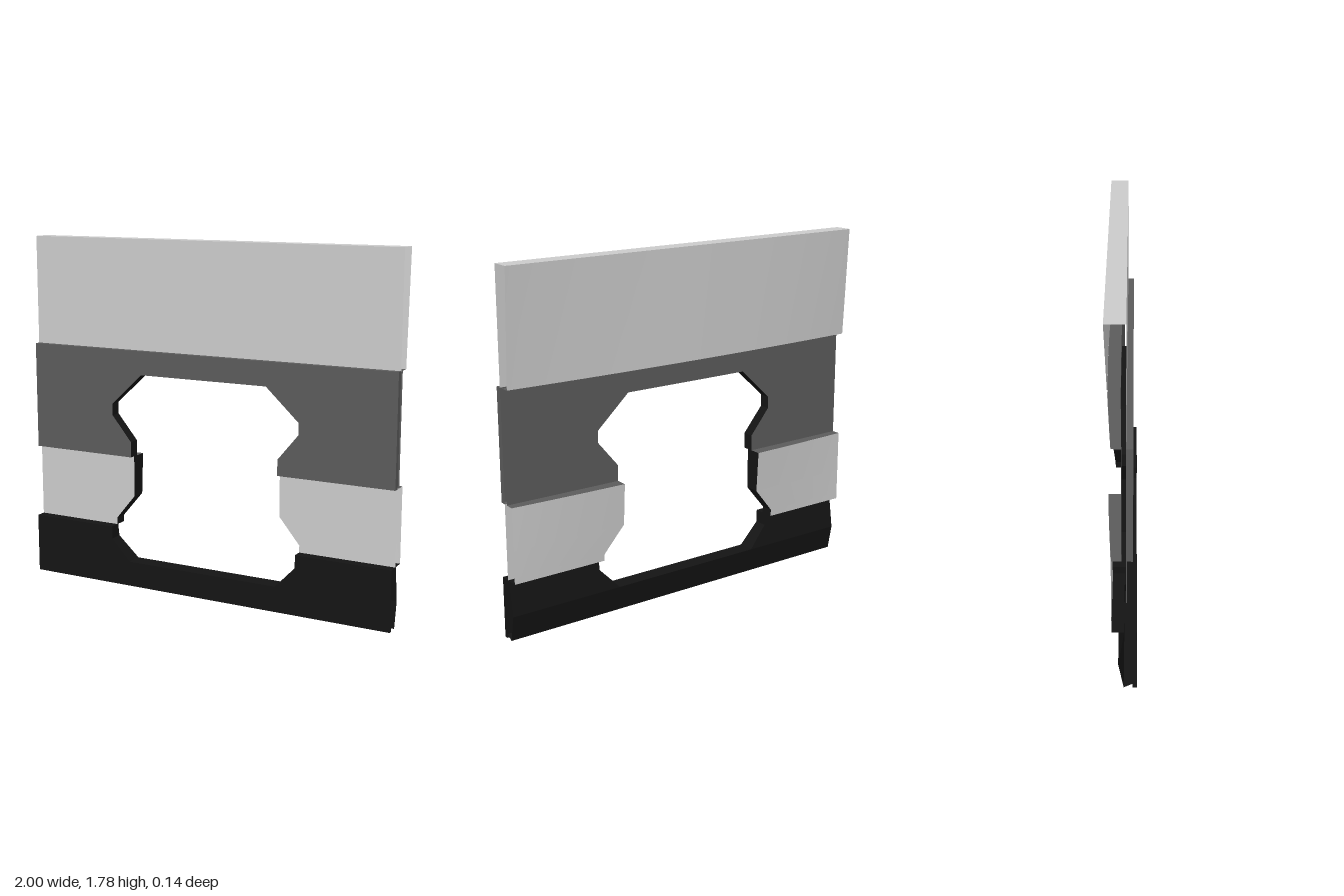
import * as THREE from 'three';
import { mergeGeometries } from 'three/addons/utils/BufferGeometryUtils.js';

const lerp = THREE.MathUtils.lerp;
const HOLE_X = -0.01;
// Opening outline: [height, half width]
const HOLE = [[0.13, 0.415], [0.24, 0.52], [0.34, 0.52], [0.47, 0.412], [0.76, 0.412], [0.89, 0.52], [0.95, 0.52], [1.11, 0.347]];

// Stacked bands; back rows are [height, z at the ends, z at mid width]
const BANDS = [
  { name: 'baseBand', color: 0x141414, front: 0.07, back: [[0, 0.01, 0.01], [0.13, -0.015, -0.015], [0.305, 0.012, 0.012]] },
  { name: 'lowerPanel', color: 0xcccccc, front: 0.02, back: [[0.305, -0.045, -0.045], [0.68, -0.045, -0.072]] },
  { name: 'middleBand', color: 0x5b5b5b, front: 0.05, back: [[0.68, 0, -0.01], [1.23, 0, -0.01]] },
  { name: 'upperPanel', color: 0xcccccc, front: 0.02, back: [[1.23, -0.045, -0.072], [1.785, -0.072, -0.072]] },
];

// Half width of the opening at a height, 0 where the wall is solid
function halfWidth(y) {
  for (let i = 0; i < HOLE.length - 1; i++) {
    const [y0, w0] = HOLE[i], [y1, w1] = HOLE[i + 1];
    if (y >= y0 && y <= y1) return lerp(w0, w1, (y - y0) / (y1 - y0));
  }
  return 0;
}

// Bowed back surface of a band
function backZ(band, x, y) {
  const rows = band.back;
  let i = 0;
  while (i < rows.length - 2 && y > rows[i + 1][0]) i++;
  const [a, b] = [rows[i], rows[i + 1]];
  const t = (y - a[0]) / (b[0] - a[0]);
  return lerp(lerp(a[1], b[1], t), lerp(a[2], b[2], t), 1 - x * x);
}

// Bend a plane grid by a rule (u, v) -> [x, y, z]
function sheet(rule, nu = 16, nv = 1) {
  const g = new THREE.PlaneGeometry(1, 1, nu, nv);
  const p = g.attributes.position;
  for (let i = 0; i < p.count; i++) p.setXYZ(i, ...rule(p.getX(i) + 0.5, p.getY(i) + 0.5));
  g.computeVertexNormals();
  return g;
}

function addMesh(group, name, color, geometries) {
  const material = new THREE.MeshStandardMaterial({ color, side: THREE.DoubleSide });
  const mesh = new THREE.Mesh(mergeGeometries(geometries), material);
  mesh.name = name;
  group.add(mesh);
}

// Horizontal strips either side of the opening between two depth rules
function ledge(y, zFront, zBack) {
  const w = halfWidth(y);
  const spans = w ? [[-1, HOLE_X - w], [HOLE_X + w, 1]] : [[-1, 1]];
  return spans.map(([a, b]) => sheet((u, v) => {
    const x = lerp(a, b, u);
    return [x, y, lerp(zFront(x), zBack(x), v)];
  }));
}

export function createModel() {
  const group = new THREE.Group();
  group.name = 'wallWithOpening';
  const walls = [];

  for (const band of BANDS) {
    const parts = [];
    const y0 = band.back[0][0], y1 = band.back[band.back.length - 1][0];
    const inner = HOLE.map(h => h[0]).filter(y => y > y0 && y < y1);
    const levels = [y0, ...inner, y1];
    for (let i = 0; i < levels.length - 1; i++) {
      const [a, b] = [levels[i], levels[i + 1]];
      const open = halfWidth((a + b) / 2) > 0;
      const wall = y => (open ? halfWidth(y) : 0);
      for (const side of [-1, 1]) {
        const edge = y => HOLE_X + side * wall(y);
        const xAt = (u, y) => (side < 0 ? lerp(-1, edge(y), u) : lerp(edge(y), 1, u));
        // Front and back skins
        parts.push(sheet((u, v) => {
          const y = lerp(a, b, v);
          return [xAt(u, y), y, band.front];
        }));
        parts.push(sheet((u, v) => {
          const y = lerp(a, b, v), x = xAt(1 - u, y);
          return [x, y, backZ(band, x, y)];
        }));
        // Side walls of the opening
        if (open) walls.push(sheet((u, v) => {
          const y = lerp(a, b, v), x = edge(y), t = side < 0 ? u : 1 - u;
          return [x, y, lerp(band.front, backZ(band, x, y), t)];
        }, 1));
      }
    }
    // End caps on the raised front of the middle band
    if (band.name === 'middleBand') for (const side of [-1, 1]) {
      parts.push(sheet((u, v) => [side, lerp(y0, y1, v), lerp(0.02, 0.05, side < 0 ? u : 1 - u)], 1));
    }
    // Flat top edge of the upper panel
    if (band.name === 'upperPanel') parts.push(...ledge(y1, () => band.front, x => backZ(band, x, y1)));
    // Underside of the base, with a shallow step behind the front lip
    if (band.name === 'baseBand') {
      const profile = [[0.07, 0], [0.05, 0], [0.05, 0.02], [0.01, 0]];
      for (let i = 0; i < 3; i++) {
        const [p, q] = [profile[i], profile[i + 1]];
        parts.push(sheet((u, v) => [2 * u - 1, lerp(q[1], p[1], v), lerp(q[0], p[0], v)], 1));
      }
    }
    addMesh(group, band.name, band.color, parts);
  }

  // Ledges where neighbouring bands step in depth
  const ledgeColors = [0x141414, 0x5b5b5b, 0x5b5b5b];
  ledgeColors.forEach((color, i) => {
    const [low, high] = [BANDS[i], BANDS[i + 1]];
    const y = high.back[0][0];
    const backLow = x => backZ(low, x, y), backHigh = x => backZ(high, x, y);
    // The lower of the two back surfaces decides which way the ledge faces
    const rear = backLow(0) < backHigh(0) ? ledge(y, backHigh, backLow) : ledge(y, backLow, backHigh).map(g => {
      g.index.array.reverse();
      g.computeVertexNormals();
      return g;
    });
    const front = ledge(y, () => Math.max(low.front, high.front), () => Math.min(low.front, high.front));
    if (high.front > low.front) front.forEach(g => {
      g.index.array.reverse();
      g.computeVertexNormals();
    });
    addMesh(group, 'ledge' + (i + 1), color, [...front, ...rear]);
  });

  // Sill and head of the opening
  for (const [row, band, up] of [[HOLE[0], BANDS[0], true], [HOLE[7], BANDS[2], false]]) {
    walls.push(sheet((u, v) => {
      const x = HOLE_X + row[1] * (2 * u - 1), t = up ? v : 1 - v;
      return [x, row[0], lerp(band.front, backZ(band, x, row[0]), t)];
    }));
  }
  addMesh(group, 'openingWalls', 0x141414, walls);
  return group;
}
